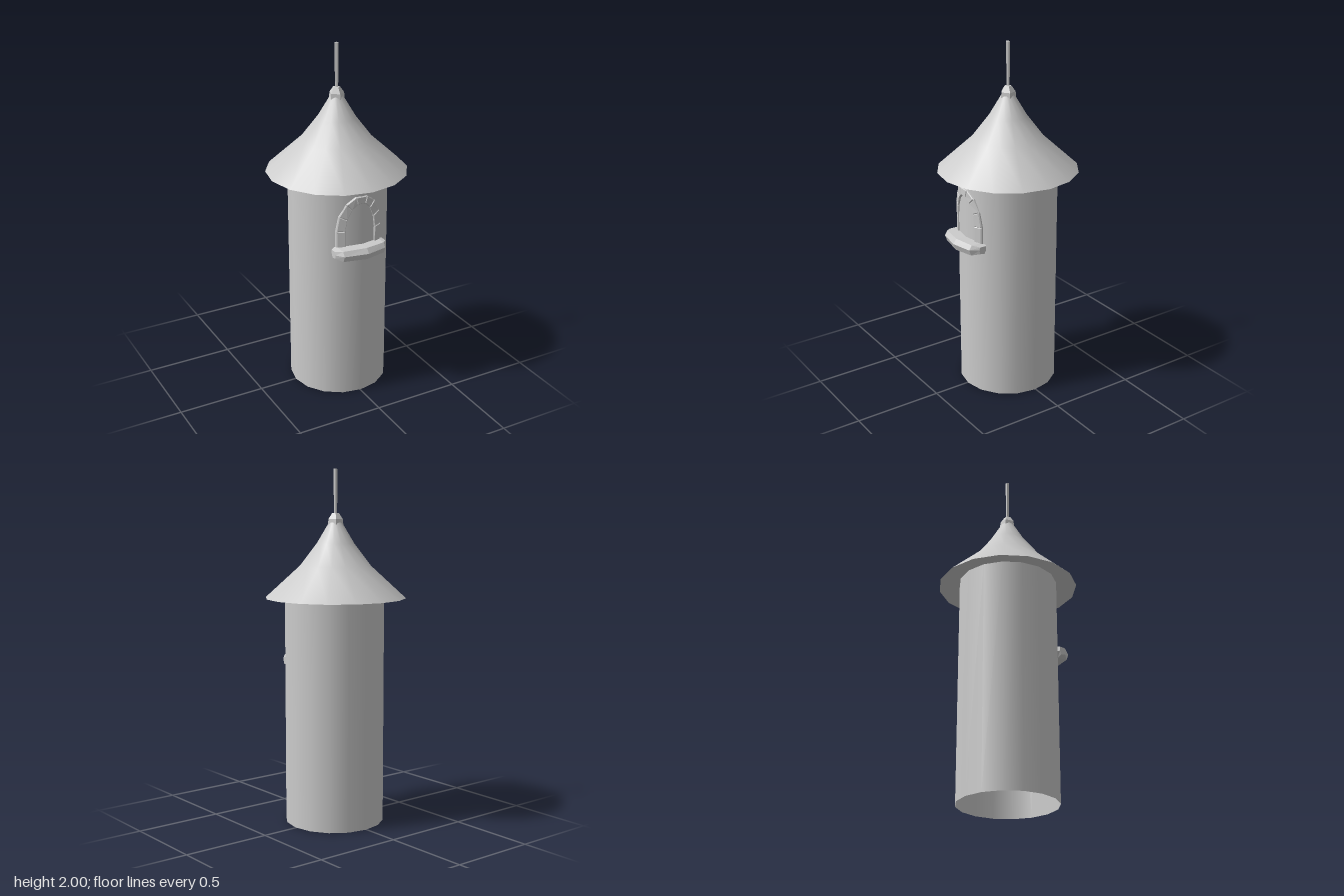
import * as THREE from 'three';

const OFF = 0.005, R = 0.281; // tower centre offset and radius

export function createModel() {
  const model = new THREE.Group();
  const smooth = new THREE.MeshStandardMaterial({ color: 0xcccccc, side: THREE.DoubleSide });
  const faceted = new THREE.MeshStandardMaterial({ color: 0xcccccc, side: THREE.DoubleSide, flatShading: true });

  const add = (name, geometry, material, parent = model) => {
    const mesh = new THREE.Mesh(geometry, material);
    mesh.name = name;
    parent.add(mesh);
    return mesh;
  };
  const lathe = (points, sides) =>
    new THREE.LatheGeometry(points.map(([r, y]) => new THREE.Vector2(r, y)), sides);

  // Hollow round tower, open at the bottom
  const tower = add('tower', new THREE.CylinderGeometry(R, R, 1.32, 16, 1, true), smooth);
  tower.position.set(OFF, 0.66, OFF);

  // Flared roof and its shallow underside
  add('roof', lathe([[0.397, 1.285], [0.2, 1.465], [0.105, 1.59], [0.04, 1.7], [0.012, 1.745]], 16), smooth);
  add('roofUnderside', lathe([[0.26, 1.315], [0.397, 1.285]], 16), smooth);

  // Faceted knob and thin pole on the peak
  add('knob', lathe([[0.045, 1.695], [0.042, 1.725], [0.02, 1.757], [0, 1.76]], 5), faceted);
  const pole = add('pole', new THREE.CylinderGeometry(0.012, 0.009, 0.28, 5), faceted);
  pole.position.y = 1.86;

  // Arched window surround: separate stones bent around the tower wall
  const frame = new THREE.Group();
  frame.name = 'windowFrame';
  model.add(frame);
  const half = [ // [outer x, outer y, inner x, inner y] from sill to crown
    [0.135, 0.93, 0.088, 0.93],
    [0.135, 1.03, 0.09, 1.025],
    [0.122, 1.115, 0.08, 1.095],
    [0.085, 1.185, 0.054, 1.15],
    [0.034, 1.222, 0.022, 1.18],
  ];
  const joints = [...half, ...half.slice().reverse().map(([a, b, c, d]) => [-a, b, -c, d])];
  for (let i = 0; i < joints.length - 1; i++) {
    const [a, b] = [joints[i], joints[i + 1]];
    const shape = new THREE.Shape([[a[0], a[1]], [b[0], b[1]], [b[2], b[3]], [a[2], a[3]]]
      .map(([x, y]) => new THREE.Vector2(x, y)));
    const geo = new THREE.ExtrudeGeometry(shape, {
      depth: 0.03, bevelEnabled: true, bevelSegments: 1,
      bevelThickness: 0.004, bevelSize: 0.004, bevelOffset: -0.004,
    });
    const p = geo.attributes.position;
    for (let k = 0; k < p.count; k++) {
      const x = p.getX(k) - 0.005;
      const wall = OFF + Math.sqrt(R * R - (x - OFF) ** 2);
      p.setXYZ(k, x, p.getY(k), wall - 0.026 + p.getZ(k));
    }
    geo.computeVertexNormals();
    add('frameStone', geo, faceted, frame);
  }

  // Chunky sill: six-sided cross-sections lofted along x
  const section = [[0.24, 0.94], [0.345, 0.94], [0.365, 0.912], [0.35, 0.875], [0.27, 0.868], [0.24, 0.9]];
  const stations = [[-0.166, 0.35, 0.27], [-0.135, 0.85, 0.285], [0, 1, 0.303], [0.12, 0.85, 0.285], [0.152, 0.35, 0.27]];
  const pos = [], index = [], n = section.length;
  for (const [x, s, zc] of stations)
    for (const [z, y] of section) pos.push(x, 0.908 + (y - 0.908) * (0.4 + 0.6 * s), zc + (z - 0.303) * s);
  for (let i = 0; i < stations.length - 1; i++)
    for (let j = 0; j < n; j++) {
      const a = i * n + j, b = i * n + (j + 1) % n;
      index.push(a, b, a + n, b, b + n, a + n);
    }
  const last = (stations.length - 1) * n;
  for (let j = 1; j < n - 1; j++) index.push(0, j + 1, j, last, last + j, last + j + 1);
  const sill = new THREE.BufferGeometry();
  sill.setAttribute('position', new THREE.Float32BufferAttribute(pos, 3));
  sill.setIndex(index);
  sill.computeVertexNormals();
  add('windowSill', sill, faceted);

  return model;
}
